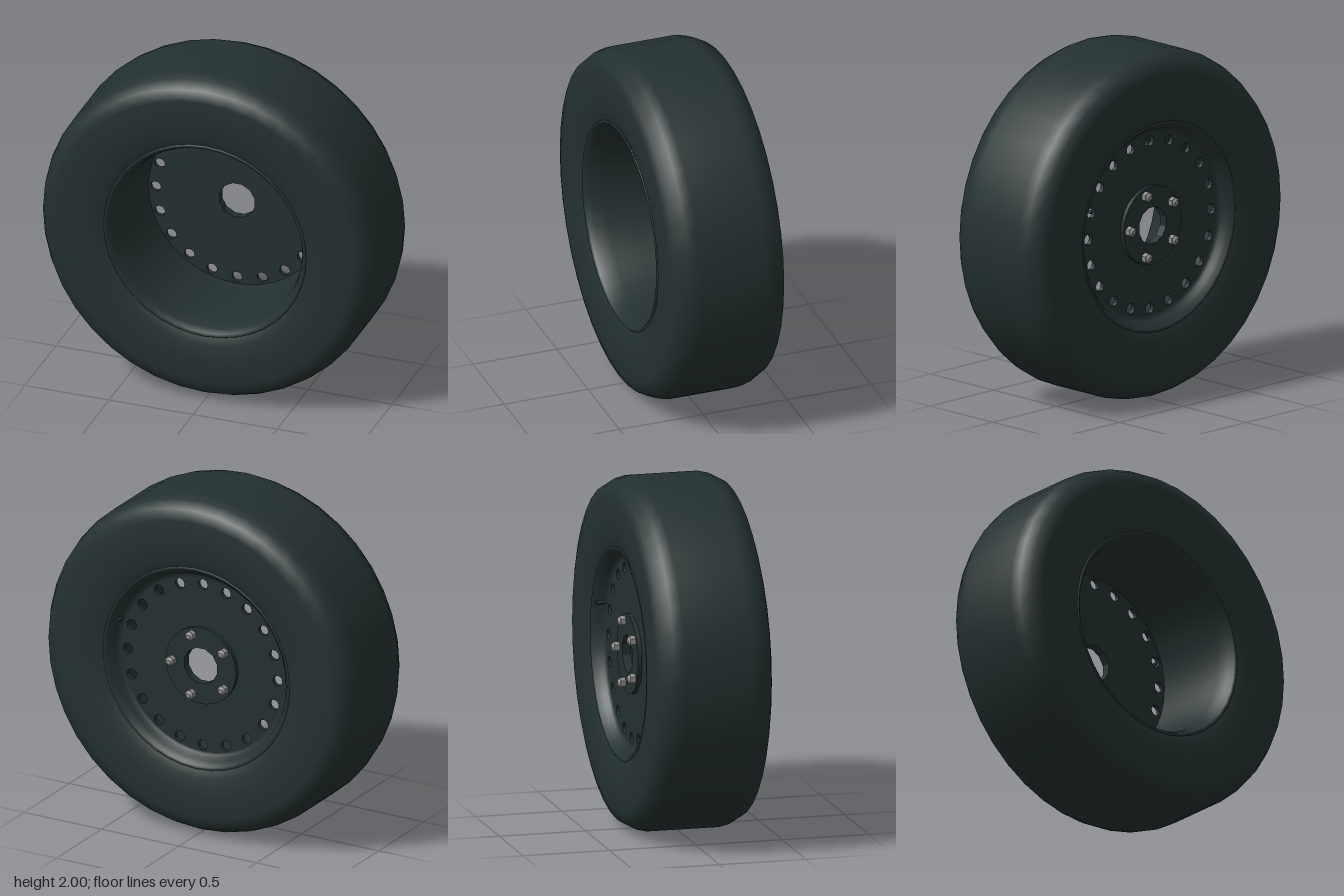
import * as THREE from 'three';

const SEG = 40;

export function createModel() {
  const model = new THREE.Group();
  model.name = 'wheel';
  const wheel = new THREE.Group(); // axle runs along z
  wheel.name = 'wheelAssembly';
  wheel.position.y = 1;
  model.add(wheel);

  const dark = new THREE.MeshStandardMaterial({ color: 0x243030 });
  dark.name = 'darkRubberAndSteel';
  const steel = new THREE.MeshStandardMaterial({ color: 0x8c8c8c });
  steel.name = 'nutSteel';

  const add = (name, geometry, material, parent = wheel) => {
    const mesh = new THREE.Mesh(geometry, material);
    mesh.name = name;
    parent.add(mesh);
    return mesh;
  };

  // Revolve [radius, z] points around the axle
  const revolve = (points) =>
    new THREE.LatheGeometry(points.map(([r, z]) => new THREE.Vector2(r, z)), SEG).rotateX(Math.PI / 2);

  // Tyre: mirrored sidewall and shoulder
  const side = [[0.6, 0.305], [0.65, 0.325], [0.75, 0.335], [0.885, 0.335], [0.95, 0.315], [0.985, 0.25], [1, 0.19]];
  const back = side.map(([r, z]) => [r, -z]);
  add('tyre', revolve([...back, [1, 0], ...side.slice().reverse()]), dark);

  // Deep barrel, open at the front
  add('rimBarrel', revolve([
    [0.603, 0.307], [0.595, 0.315], [0.582, 0.305], [0.565, 0.27],
    [0.55, 0.2], [0.538, 0.05], [0.53, -0.1], [0.525, -0.235],
  ]), dark);

  // Shallow stepped lip at the back
  add('rimBackLip', revolve([
    [0.522, -0.235], [0.535, -0.237], [0.55, -0.25], [0.56, -0.275],
    [0.575, -0.29], [0.585, -0.305], [0.595, -0.312], [0.603, -0.307],
  ]), dark);

  // Flat plate with a polygonal centre bore and optional ring of holes
  const polygon = (radius, count, cx = 0, cy = 0, turn = 0) =>
    Array.from({ length: count }, (_, i) => {
      const a = turn + (i / count) * Math.PI * 2;
      return new THREE.Vector2(cx + radius * Math.cos(a), cy + radius * Math.sin(a));
    });
  const plate = (radius, zBack, depth, holeCount) => {
    const shape = new THREE.Shape(polygon(radius, SEG));
    shape.holes.push(new THREE.Path(polygon(0.108, 12, 0, 0, Math.PI / 12)));
    for (let i = 0; i < holeCount; i++) {
      const a = (i / holeCount) * Math.PI * 2;
      shape.holes.push(new THREE.Path(polygon(0.031, 12, 0.483 * Math.cos(a), 0.483 * Math.sin(a))));
    }
    return new THREE.ExtrudeGeometry(shape, { depth, bevelEnabled: false }).translate(0, 0, zBack);
  };
  add('wheelDisc', plate(0.528, -0.235, 0.025, 20), dark);
  add('hubPad', plate(0.227, -0.258, 0.024, 0), dark);

  // Five wheel nuts on the outer face
  for (let i = 0; i < 5; i++) {
    const a = (i / 5) * Math.PI * 2;
    const nut = new THREE.Group();
    nut.name = 'wheelNut' + (i + 1);
    nut.position.set(0.186 * Math.cos(a), 0.186 * Math.sin(a), -0.258);
    nut.rotation.x = -Math.PI / 2;
    wheel.add(nut);
    const body = new THREE.CylinderGeometry(0.03, 0.03, 0.03, 6).toNonIndexed();
    body.computeVertexNormals();
    add('nutBody', body, steel, nut).position.y = 0.015;
    add('nutCap', new THREE.CylinderGeometry(0.014, 0.025, 0.012, 12), steel, nut).position.y = 0.036;
  }

  // Valve stem beside the back lip
  const valve = add('valveStem', new THREE.CylinderGeometry(0.01, 0.012, 0.07, 10), dark);
  valve.rotation.x = -Math.PI / 2;
  valve.position.set(0.55 * Math.cos(0.33), 0.55 * Math.sin(0.33), -0.265);

  return model;
}
